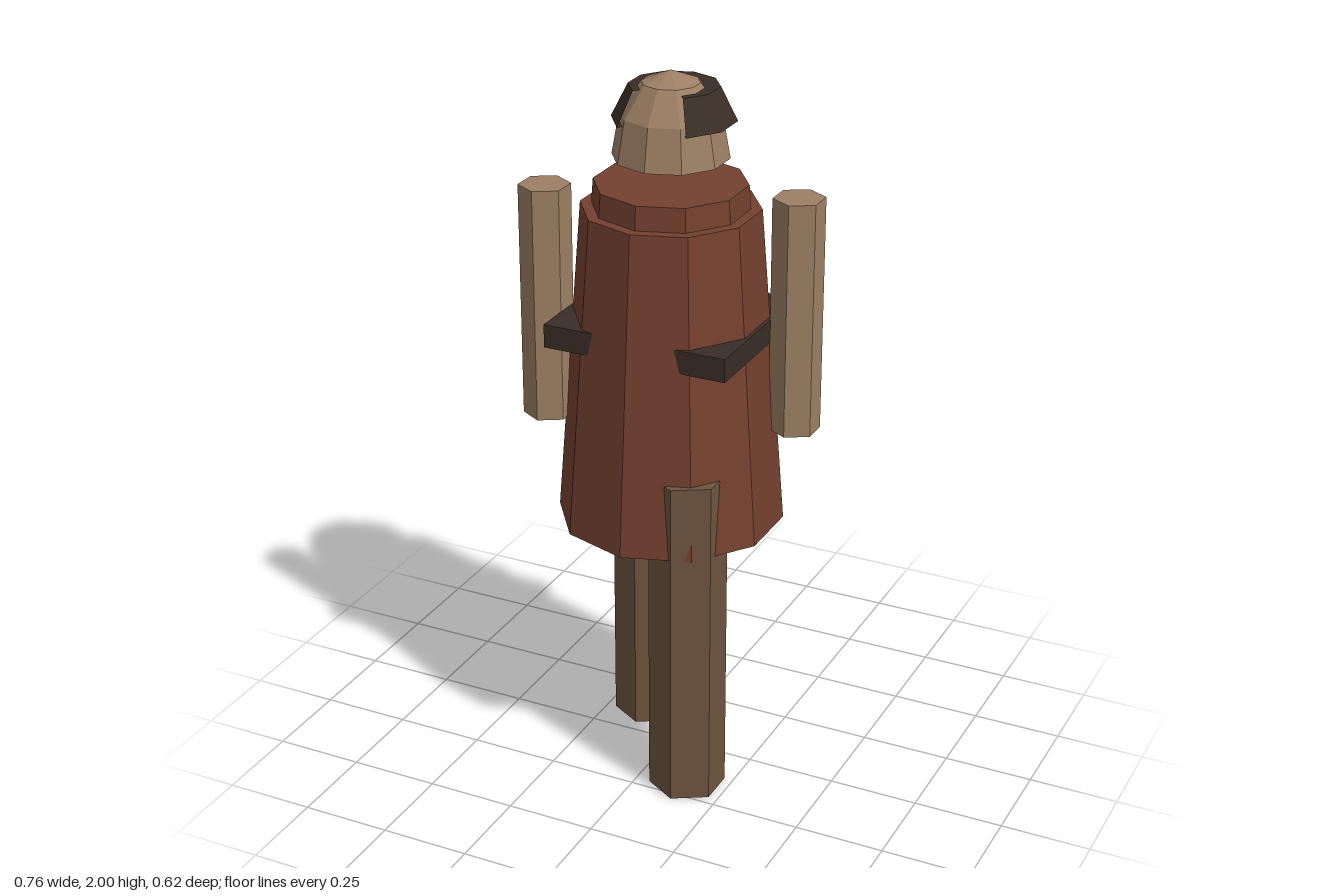
import * as THREE from 'three';

const mat = (color, side = THREE.FrontSide) =>
  new THREE.MeshStandardMaterial({ color, side, flatShading: true });

export function createModel() {
  const group = new THREE.Group();
  const red = mat(0x74402f);
  const skin = mat(0x9c7f64, THREE.DoubleSide);
  const trousers = mat(0x6e543f);
  const dark = mat(0x3a2e26, THREE.DoubleSide);

  const add = (name, geometry, material, x, y, z) => {
    const mesh = new THREE.Mesh(geometry, material);
    mesh.name = name;
    mesh.position.set(x, y, z);
    group.add(mesh);
    return mesh;
  };
  // Upright prism or frustum between two heights
  const column = (name, rTop, rBottom, y0, y1, sides, material, x = 0, z = 0) =>
    add(name, new THREE.CylinderGeometry(rTop, rBottom, y1 - y0, sides), material, x, (y0 + y1) / 2, z);

  // Robe, collar and belt whose corners poke out of the robe
  column('robe', 0.24, 0.31, 0.745, 1.635, 10, red);
  column('collar', 0.205, 0.21, 1.635, 1.7, 10, red);
  add('belt', new THREE.BoxGeometry(0.523, 0.065, 0.455), dark, 0, 1.303, -0.002);

  // Striding legs and swinging arms
  column('leftLeg', 0.106, 0.106, 0, 0.957, 6, trousers, 0.132, 0.169);
  column('rightLeg', 0.106, 0.106, 0, 0.957, 6, trousers, -0.132, -0.143);
  column('leftArm', 0.07, 0.07, 1.02, 1.675, 6, skin, 0.321, -0.096);
  column('rightArm', 0.07, 0.07, 1.02, 1.675, 6, skin, -0.321, 0.096);

  // Head: tall faceted dome
  const dome = new THREE.SphereGeometry(0.155, 10, 3, Math.PI / 2, Math.PI * 2, 0, Math.PI / 2);
  dome.scale(1, 0.23 / 0.155, 1);
  add('head', dome, skin, 0, 1.77, 0);

  // Hair: band around the back and sides, open at the face
  const step = Math.PI / 5;
  add('hair', new THREE.CylinderGeometry(0.12, 0.165, 0.09, 8, 1, false, step, step * 8), dark, 0, 1.91, -0.02);

  return group;
}
